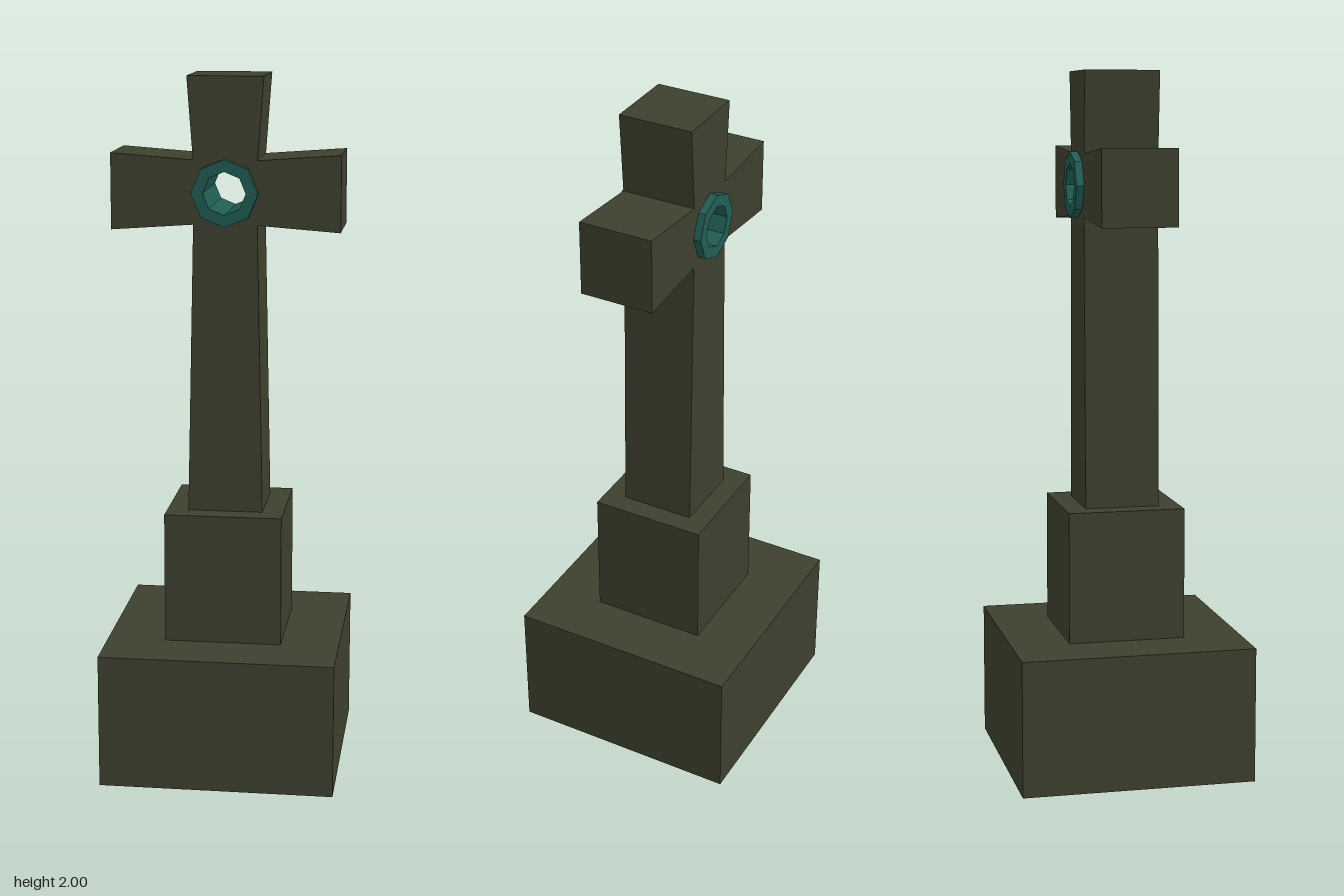
import * as THREE from 'three';

const stone = new THREE.MeshStandardMaterial({ color: 0x3d402d });
stone.name = 'mossyStone';
const teal = new THREE.MeshStandardMaterial({ color: 0x205c53 });
teal.name = 'tealMetal';

const HUB_Y = 1.68;

// Regular octagon with corners on the axes
function octagon(radius, Type) {
  const points = [];
  for (let i = 0; i < 8; i++) {
    const a = (i * Math.PI) / 4;
    points.push(new THREE.Vector2(radius * Math.cos(a), radius * Math.sin(a)));
  }
  return new Type(points);
}

// Extrusion centred on z = 0
function slab(shape, depth) {
  const geometry = new THREE.ExtrudeGeometry(shape, { depth, bevelEnabled: false });
  return geometry.translate(0, 0, -depth / 2);
}

export function createModel() {
  const model = new THREE.Group();
  model.name = 'stoneCross';

  const add = (name, geometry, material, y) => {
    const mesh = new THREE.Mesh(geometry, material);
    mesh.name = name;
    mesh.position.y = y;
    model.add(mesh);
  };

  // Stepped base
  add('lowerPlinth', new THREE.BoxGeometry(0.67, 0.388, 0.67), stone, 0.194);
  add('upperPlinth', new THREE.BoxGeometry(0.336, 0.377, 0.336), stone, 0.5765);

  // Flared cross, half outline mirrored across x, pierced at the hub
  const half = [
    [0.107, 0.765 - HUB_Y], [0.09, -0.09], [0.322, -0.107],
    [0.322, 0.107], [0.09, 0.09], [0.107, 2 - HUB_Y],
  ];
  const outline = [...half, ...half.map(([x, y]) => [-x, y]).reverse()];
  const cross = new THREE.Shape(outline.map(([x, y]) => new THREE.Vector2(x, y)));
  cross.holes.push(octagon(0.075, THREE.Path));
  add('cross', slab(cross, 0.214), stone, HUB_Y);

  // Octagonal sleeve through the hub
  const ring = octagon(0.094, THREE.Shape);
  ring.holes.push(octagon(0.06, THREE.Path));
  add('hubRing', slab(ring, 0.258), teal, HUB_Y);

  return model;
}
